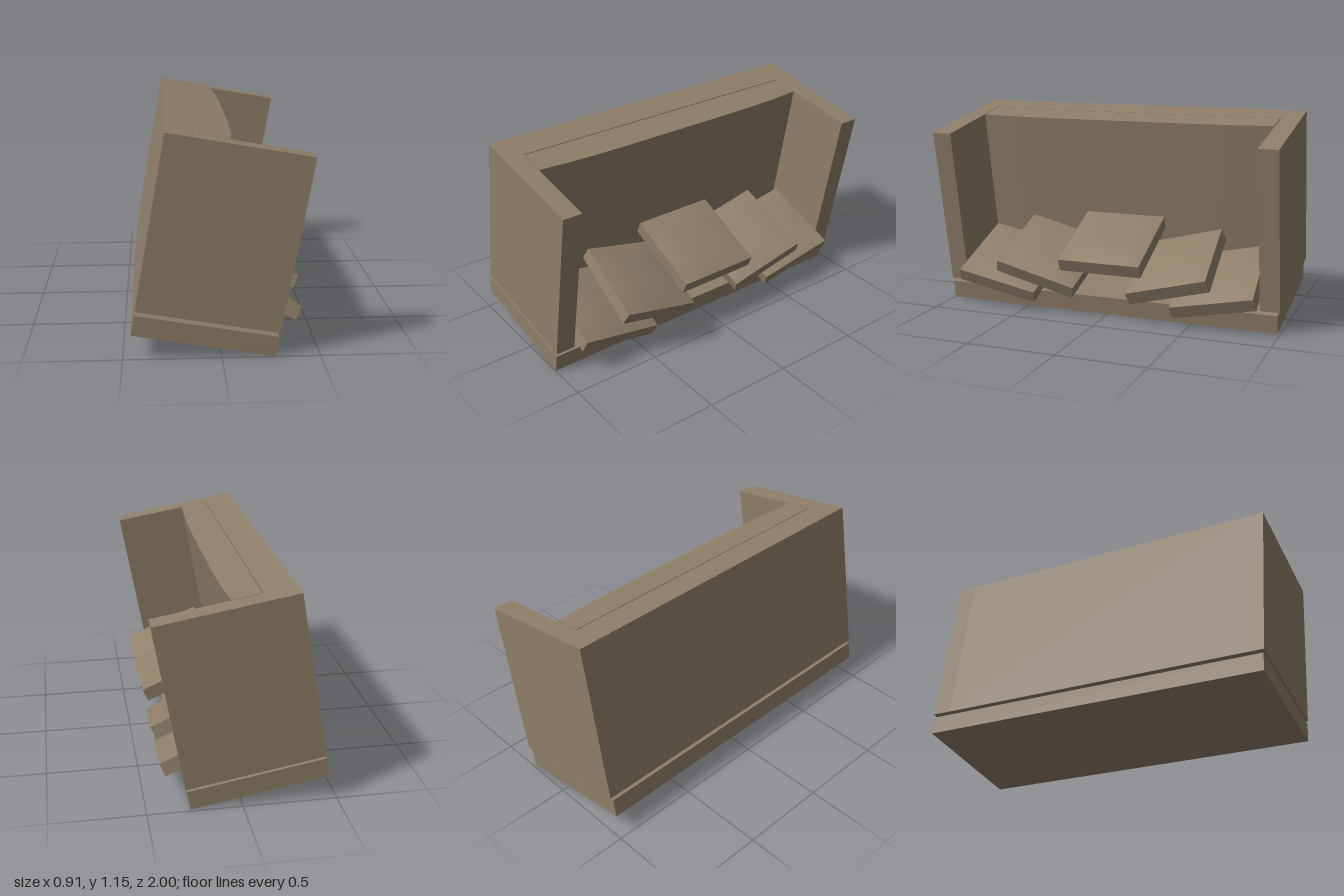
import * as THREE from 'three';
import { toCreasedNormals } from 'three/addons/utils/BufferGeometryUtils.js';

const fabric = new THREE.MeshStandardMaterial({ color: 0x8f7e68 });
fabric.name = 'taupe fabric';

// Box given by its lower and upper corners
function box(name, [x0, y0, z0], [x1, y1, z1]) {
  const mesh = new THREE.Mesh(new THREE.BoxGeometry(x1 - x0, y1 - y0, z1 - z0), fabric);
  mesh.position.set((x0 + x1) / 2, (y0 + y1) / 2, (z0 + z1) / 2);
  mesh.name = name;
  return mesh;
}

// Square slab whose two broad faces swell away from straight edges
function pillowGeometry(size, thick, swell) {
  const geo = new THREE.BoxGeometry(size, thick, size, 6, 1, 6);
  const p = geo.attributes.position;
  const fall = (t) => 1 - Math.pow(Math.abs(t) / (size / 2), 4);
  for (let i = 0; i < p.count; i++) {
    const y = p.getY(i);
    p.setY(i, y + Math.sign(y) * swell * fall(p.getX(i)) * fall(p.getZ(i)));
  }
  return toCreasedNormals(geo, 0.5);
}

// Back cushion: front face bows forward along its length
function backCushion() {
  const w = 0.155, h = 0.905, len = 1.77;
  const geo = new THREE.BoxGeometry(w, h, len, 1, 1, 10);
  const p = geo.attributes.position;
  for (let i = 0; i < p.count; i++) {
    const t = p.getZ(i) / (len / 2);
    if (p.getX(i) > 0) p.setX(i, p.getX(i) + 0.022 * (1 - Math.pow(t, 4)));
  }
  const mesh = new THREE.Mesh(toCreasedNormals(geo, 0.5), fabric);
  mesh.position.set(0.175 + w / 2, 0.135 + h / 2, 0);
  mesh.name = 'backCushion';
  return mesh;
}

export function createModel() {
  const model = new THREE.Group();
  model.name = 'sofa';

  // Whole sofa leans forward, seat opening towards +x
  const frame = new THREE.Group();
  frame.name = 'tiltedFrame';
  frame.position.set(-0.457, 0.129, 0);
  frame.rotation.z = THREE.MathUtils.degToRad(-10);
  model.add(frame);

  frame.add(box('base', [0, 0, -0.986], [0.74, 0.106, 0.998]));
  frame.add(box('backPanel', [0, 0.128, -0.89], [0.17, 1.04, 0.89]));
  frame.add(box('leftArm', [0, 0.128, 0.89], [0.743, 1.04, 1]));
  frame.add(box('rightArm', [0, 0.128, -1], [0.743, 1.04, -0.89]));
  frame.add(backCushion());

  // Five loose pillows fanned out from the middle: x, y, z, roll in degrees
  const geo = pillowGeometry(0.48, 0.075, 0.018);
  const addPillow = (name, x, y, z, roll) => {
    const mesh = new THREE.Mesh(geo, fabric);
    mesh.name = name;
    mesh.position.set(x, y, z);
    mesh.rotation.set(THREE.MathUtils.degToRad(-roll), 0, THREE.MathUtils.degToRad(-14));
    frame.add(mesh);
  };
  addPillow('middlePillow', 0.602, 0.386, -0.005, 0);
  for (const s of [1, -1]) {
    const side = s > 0 ? 'left' : 'right';
    addPillow(side + 'InnerPillow', 0.607, 0.281, s * 0.383, s * 15);
    addPillow(side + 'OuterPillow', 0.604, 0.212, s * 0.638, s * 12);
  }
  return model;
}
